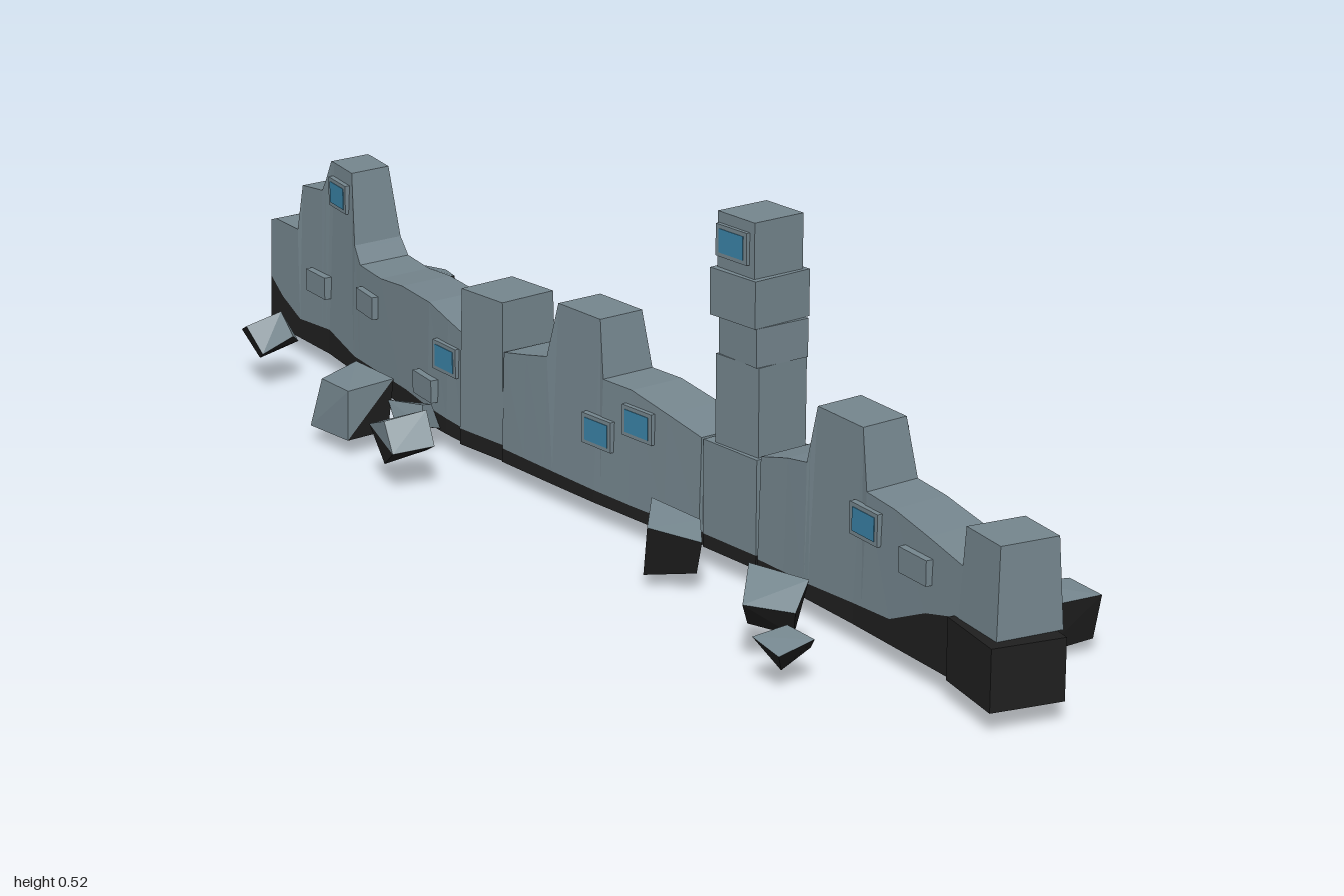
import * as THREE from 'three';
import { ConvexGeometry } from 'three/addons/geometries/ConvexGeometry.js';

const mat = (name, color) => Object.assign(
  new THREE.MeshStandardMaterial({ color, flatShading: true }), { name });

// linear lookup in a list of [key, value] pairs
function lookup(list, t) {
  for (let i = 1; i < list.length; i++) {
    const [a, va] = list[i - 1], [b, vb] = list[i];
    if (t <= b) return va + (vb - va) * Math.max(0, (t - a) / (b - a));
  }
  return list[list.length - 1][1];
}

// winding centre line of the wall, its half thickness by height, and the top of its dark footing
const PATH = [[-1, 0.108], [-0.8, 0.087], [-0.6, 0.045], [-0.4, 0.004], [-0.25, -0.008],
  [0, -0.012], [0.3, -0.004], [0.45, -0.015], [0.6, -0.03], [0.86, -0.063]];
const HALF = [[0.03, 0.052], [0.2, 0.047], [0.36, 0.034]];
const FOOT = [[-1, 0.11], [-0.96, 0.085], [-0.9, 0.062], [-0.8, 0.07], [-0.7, 0.055], [-0.5, 0.06],
  [-0.3, 0.052], [0.1, 0.048], [0.5, 0.052], [0.7, 0.065], [0.78, 0.1], [0.86, 0.12]];
const centre = z => lookup(PATH, z);
const half = y => lookup(HALF, y);

// loft of four-cornered sections, each [z, bottom, top]
function loft(sections) {
  const rings = sections.map(([z, lo, hi]) => {
    const c = centre(z), a = half(lo), b = half(hi);
    return [[c + a, lo, z], [c + b, hi, z], [c - b, hi, z], [c - a, lo, z]];
  });
  const pos = [];
  const quad = (a, b, c, d) => pos.push(...a, ...b, ...c, ...a, ...c, ...d);
  for (let i = 0; i < rings.length - 1; i++) {
    const r = rings[i], s = rings[i + 1];
    for (let k = 0; k < 4; k++) {
      const n = (k + 1) % 4;
      quad(r[k], r[n], s[n], s[k]);
    }
  }
  const f = rings[0], l = rings[rings.length - 1];
  quad(f[3], f[2], f[1], f[0]);
  quad(l[0], l[1], l[2], l[3]);
  const g = new THREE.BufferGeometry();
  g.setAttribute('position', new THREE.Float32BufferAttribute(pos, 3));
  g.computeVertexNormals();
  return g;
}

export function createModel() {
  const root = new THREE.Group();
  root.name = 'ruinedWall';
  const stone = mat('greyStone', 0x74858d);
  const dark = mat('darkFooting', 0x1f1f1f);
  const blue = mat('windowBlue', 0x3a82a6);

  const add = (name, geo, material, parent = root) => {
    const m = new THREE.Mesh(geo, material);
    m.name = name;
    parent.add(m);
    return m;
  };

  // box between two heights, narrowed at the top
  function block(name, material, [w, d], [x, z], y0, y1, turn = 0, taper = 1) {
    const g = new THREE.BoxGeometry(w, y1 - y0, d);
    const p = g.attributes.position;
    for (let i = 0; i < p.count; i++) {
      if (p.getY(i) > 0) p.setXYZ(i, p.getX(i) * taper, p.getY(i), p.getZ(i) * taper);
    }
    g.computeVertexNormals();
    const m = add(name, g, material);
    m.position.set(x, (y0 + y1) / 2, z);
    m.rotation.y = turn;
    return m;
  }

  // wall lengths, given by their skyline [z, top]
  const walls = {
    backWall: [[-1, 0.205], [-0.985, 0.21], [-0.91, 0.21], [-0.9, 0.285], [-0.835, 0.292], [-0.825, 0.31],
      [-0.81, 0.345], [-0.73, 0.345], [-0.705, 0.235], [-0.68, 0.21], [-0.6, 0.21], [-0.52, 0.22],
      [-0.42, 0.222], [-0.36, 0.21], [-0.315, 0.2]],
    middleWall: [[-0.205, 0.2], [-0.15, 0.21], [-0.1, 0.22], [-0.08, 0.305], [0.02, 0.305], [0.035, 0.22],
      [0.1, 0.22], [0.18, 0.205], [0.255, 0.19]],
    frontWall: [[0.39, 0.2], [0.45, 0.215], [0.495, 0.222], [0.51, 0.305], [0.615, 0.305], [0.635, 0.222],
      [0.7, 0.218], [0.78, 0.205], [0.86, 0.19]],
  };
  for (const [name, line] of Object.entries(walls)) {
    const z0 = line[0][0], z1 = line[line.length - 1][0];
    // extra sections keep the footing line ragged
    const foot = FOOT.map(f => f[0]).filter(z => z > z0 && z < z1);
    const zs = [...new Set([...line.map(p => p[0]), ...foot])].sort((a, b) => a - b);
    add(name, loft(zs.map(z => [z, lookup(FOOT, z), lookup(line, z)])), stone);
    add(name + 'Footing', loft(zs.map(z => [z, 0.03, lookup(FOOT, z)])), dark);
  }

  // square pier between two wall lengths
  block('pierFooting', dark, [0.104, 0.104], [-0.008, -0.26], 0.03, 0.055, 0.04);
  block('pier', stone, [0.104, 0.104], [-0.008, -0.26], 0.055, 0.275, 0.04, 0.93);

  // tower of stacked, slightly turned blocks
  block('towerFooting', dark, [0.1, 0.116], [-0.004, 0.319], 0.03, 0.05);
  block('towerBase', stone, [0.1, 0.116], [-0.004, 0.319], 0.05, 0.19);
  [[0.19, 0.32, 0.088, 0.09, -0.004, 0.325, 0.03], [0.32, 0.376, 0.09, 0.085, -0.003, 0.328, -0.04],
    [0.376, 0.444, 0.1, 0.094, -0.004, 0.32, 0.03], [0.444, 0.524, 0.086, 0.08, -0.003, 0.319, -0.01],
  ].forEach(([a, b, w, d, x, z, t], i) => block('towerBlock' + (i + 1), stone, [w, d], [x, z], a, b, t));

  // turned end block at the front
  block('endFooting', dark, [0.108, 0.123], [-0.084, 0.915], 0.03, 0.118, -0.27);
  block('endBlock', stone, [0.1, 0.095], [-0.073, 0.91], 0.118, 0.245, -0.2, 0.88);

  // framed windows and plain projecting stones, laid on the wall faces
  function fitting(name, side, z, y, face) {
    const g = new THREE.Group();
    g.name = name;
    const slope = (centre(z + 0.04) - centre(z - 0.04)) / 0.08;
    const x = face ?? centre(z) + side * half(y);
    g.position.set(x, y, z);
    g.rotation.y = face === undefined ? Math.atan(slope) : 0;
    root.add(g);
    return g;
  }
  function windowAt(side, z, y, face) {
    const g = fitting('window', side, z, y, face);
    add('windowFrame', new THREE.BoxGeometry(0.012, 0.046, 0.066), stone, g);
    add('windowPane', new THREE.BoxGeometry(0.005, 0.034, 0.052), blue, g).position.x = side * 0.0045;
  }
  for (const [s, z, y] of [[1, 0.575, 0.265], [1, 0.095, 0.165], [1, -0.155, 0.165], [1, -0.45, 0.175],
    [-1, 0.64, 0.18], [-1, 0.12, 0.175], [-1, 0.03, 0.14], [-1, -0.36, 0.15], [-1, -0.77, 0.3]]) windowAt(s, z, y);
  windowAt(1, 0.315, 0.485, 0.04);
  windowAt(-1, 0.315, 0.485, -0.046);
  for (const [s, z, y] of [[1, 0.7, 0.165], [1, 0.455, 0.08], [1, 0.21, 0.08], [1, -0.75, 0.12], [1, -0.855, 0.175],
    [-1, 0.76, 0.16], [-1, -0.42, 0.09], [-1, -0.64, 0.16], [-1, -0.83, 0.14]]) {
    add('projectingStone', new THREE.BoxGeometry(0.02, 0.036, 0.064), stone, fitting('stoneFitting', s, z, y));
  }

  // fallen rocks: chunky hulls with dark undersides
  let seed = 7;
  const rand = () => (seed = (seed * 16807) % 2147483647) / 2147483647;
  function rock(x, y, z, w, h, d) {
    const pts = [], turn = new THREE.Euler(rand() - 0.5, rand() * 3, rand() - 0.5);
    for (const i of [-1, 1]) for (const j of [-1, 1]) for (const k of [-1, 1]) {
      const v = new THREE.Vector3(i, j, k).multiplyScalar(0.6 + rand() * 0.5);
      pts.push(v.applyEuler(turn));
    }
    const box = new THREE.Box3().setFromPoints(pts);
    const size = box.getSize(new THREE.Vector3()), mid = box.getCenter(new THREE.Vector3());
    pts.forEach(p => p.sub(mid).divide(size).multiply(new THREE.Vector3(w, h, d)));
    const hull = new ConvexGeometry(pts);
    const p = hull.attributes.position.array, n = hull.attributes.normal;
    const split = [[], []];
    for (let t = 0; t < n.count; t += 3) {
      split[n.getY(t) < -0.12 ? 1 : 0].push(...p.slice(t * 3, t * 3 + 9));
    }
    split.forEach((list, i) => {
      const g = new THREE.BufferGeometry();
      g.setAttribute('position', new THREE.Float32BufferAttribute(list, 3));
      g.computeVertexNormals();
      add(i ? 'rockUnderside' : 'rock', g, i ? dark : stone).position.set(x, y, z);
    });
  }
  [[-0.067, 0.08, -0.815, 0.1, 0.08, 0.08], [0.23, 0.105, -0.78, 0.09, 0.075, 0.11],
    [-0.142, 0.07, -0.478, 0.08, 0.09, 0.11], [-0.08, 0.055, -0.4, 0.06, 0.05, 0.07],
    [0.1, 0.06, -0.43, 0.09, 0.1, 0.13], [-0.182, 0.075, -0.285, 0.09, 0.085, 0.11],
    [0.182, 0.075, -0.24, 0.09, 0.09, 0.115], [0.155, 0.075, 0.175, 0.075, 0.05, 0.06],
    [0.12, 0.06, 0.22, 0.06, 0.04, 0.055], [-0.133, 0.065, 0.29, 0.1, 0.095, 0.13],
    [-0.215, 0.085, 0.585, 0.1, 0.085, 0.12], [-0.245, 0.05, 0.665, 0.075, 0.05, 0.07],
    [0.12, 0.06, 0.665, 0.12, 0.12, 0.13], [0.15, 0.08, 0.61, 0.07, 0.07, 0.08],
    [0.125, 0.05, 0.8, 0.12, 0.08, 0.11], [0.245, 0.05, -0.755, 0.07, 0.07, 0.07],
  ].forEach(r => rock(...r));

  return root;
}
